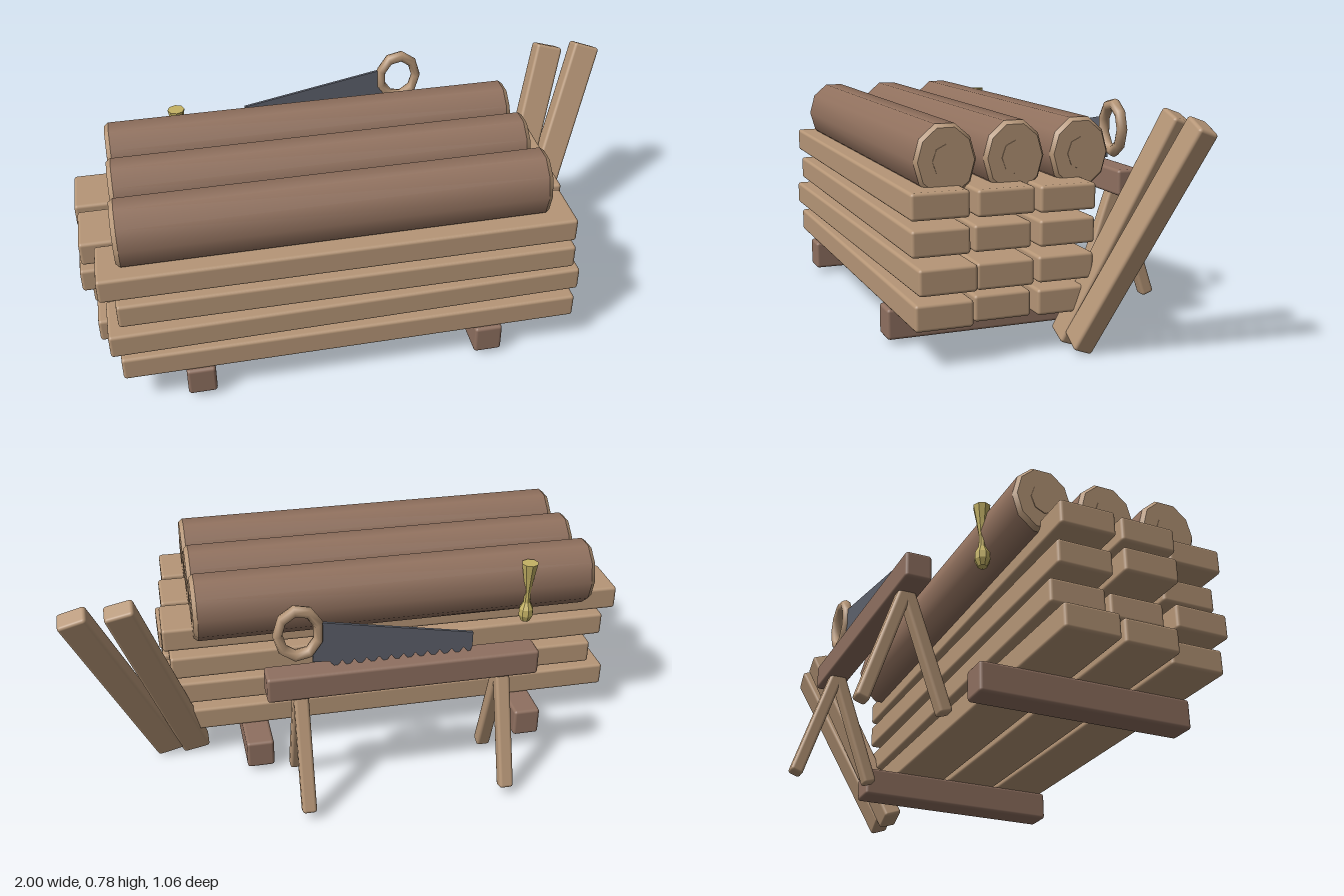
import * as THREE from 'three';
import { RoundedBoxGeometry } from 'three/addons/geometries/RoundedBoxGeometry.js';

const mat = (name, color, extra = {}) => {
  const m = new THREE.MeshStandardMaterial({ color, ...extra });
  m.name = name;
  return m;
};

export function createModel() {
  const root = new THREE.Group();
  root.name = 'lumberStack';
  const lightWood = mat('lightWood', 0xb69677);
  const darkWood = mat('darkWood', 0x8f7060);
  const bark = mat('bark', 0x91715e);
  const steel = mat('steel', 0x5d616c, { side: THREE.DoubleSide });
  const brass = mat('brass', 0xc4b264, { flatShading: true });

  const add = (parent, name, geo, material, x = 0, y = 0, z = 0) => {
    const m = new THREE.Mesh(geo, material);
    m.name = name;
    m.position.set(x, y, z);
    parent.add(m);
    return m;
  };
  const block = (parent, name, material, w, h, d, x, y, z) =>
    add(parent, name, new RoundedBoxGeometry(w, h, d, 2, 0.011), material, x, y, z);

  // Two bearers under the stack
  for (const x of [-0.645, 0.36]) block(root, 'bearer', darkWood, 0.098, 0.104, 0.748, x, 0.083, 0.16);

  // Stacked planks: each row runs front to back, [left end, right end, yaw]
  const rows = [
    [[-0.90, 0.67, 0], [-0.97, 0.63, 0], [-0.985, 0.64, 0]],
    [[-0.93, 0.68, 0.012], [-0.91, 0.67, -0.008], [-0.92, 0.66, -0.009]],
    [[-0.89, 0.65, -0.003], [-1.0, 0.64, -0.004], [-0.96, 0.65, 0.002]],
    [[-0.94, 0.645, -0.002], [-0.99, 0.66, 0.001], [-1.0, 0.67, -0.007]],
  ];
  const plankZ = [0.428, 0.222, 0.012];
  const stack = new THREE.Group();
  stack.name = 'plankStack';
  root.add(stack);
  rows.forEach((row, r) => row.forEach(([a, b, yaw], i) => {
    const p = block(stack, 'plank', lightWood, b - a, 0.086, 0.19, (a + b) / 2, 0.175 + r * 0.1127, plankZ[i]);
    p.rotation.y = yaw;
  }));

  // Logs on top, with chamfered cut ends and a raised heart
  for (const z of [0.383, 0.154, -0.072]) {
    const log = new THREE.Group();
    log.name = 'log';
    log.position.set(-0.155, 0.634, z);
    log.scale.set(1, 0.121, 0.103);
    root.add(log);
    const body = new THREE.CylinderGeometry(1, 1, 1.405, 10, 1, true);
    body.rotateZ(Math.PI / 2);
    add(log, 'logBark', body, bark);
    for (const side of [1, -1]) {
      const cap = new THREE.CylinderGeometry(0.9, 1, 0.015, 10);
      cap.rotateZ(-side * Math.PI / 2);
      add(log, 'logEnd', cap, lightWood, side * 0.71);
      const heart = new THREE.CylinderGeometry(0.44, 0.44, 0.004, 8);
      heart.rotateZ(-side * Math.PI / 2);
      add(log, 'logHeart', heart, lightWood, side * 0.718);
    }
  }

  // Two boards leaning against the right-hand end
  for (const [x, y, lean] of [[0.69, 0.402, 0.275], [0.812, 0.398, 0.345]]) {
    const b = block(root, 'leaningBoard', lightWood, 0.1, 0.82, 0.068, x, y, -0.15);
    b.rotation.set(-0.35, 0, -lean);
  }

  // Sawhorse: beam on two splayed pairs of legs
  const horse = new THREE.Group();
  horse.name = 'sawhorse';
  root.add(horse);
  block(horse, 'sawhorseBeam', darkWood, 0.935, 0.092, 0.09, -0.117, 0.482, -0.37);
  for (const x of [-0.465, 0.235]) {
    for (const s of [1, -1]) {
      const leg = block(horse, 'sawhorseLeg', lightWood, 0.05, 0.43, 0.046, x, 0.244, -0.37 + s * 0.071);
      leg.rotation.x = -s * 0.325;
    }
  }

  // Handsaw resting in the beam: toothed blade and ring handle
  const saw = new THREE.Group();
  saw.name = 'handsaw';
  root.add(saw);
  const blade = new THREE.Shape();
  blade.moveTo(0.18, 0.7);
  blade.lineTo(-0.36, 0.6);
  blade.lineTo(-0.36, 0.545);
  const teeth = 12;
  for (let i = 0; i < teeth; i++) {
    const x = -0.35 + i * 0.042;
    blade.lineTo(x, 0.52);
    blade.lineTo(x + 0.021, 0.545);
  }
  blade.lineTo(0.19, 0.55);
  add(saw, 'sawBlade', new THREE.ExtrudeGeometry(blade, { depth: 0.01, bevelEnabled: false }), steel, 0, 0, -0.365);
  const handle = add(saw, 'sawHandle', new THREE.TorusGeometry(0.085, 0.021, 8, 9), lightWood, 0.235, 0.663, -0.36);
  handle.scale.x = 0.82;

  // Small brass tool behind the logs: flared top, thin neck, round bulb
  const profile = [[0, 0.5], [0.016, 0.506], [0.027, 0.53], [0.026, 0.555], [0.013, 0.58],
    [0.011, 0.62], [0.02, 0.68], [0.03, 0.735], [0, 0.735]];
  add(root, 'brassTool', new THREE.LatheGeometry(profile.map(p => new THREE.Vector2(...p)), 8), brass, -0.62, 0, -0.166);

  return root;
}
